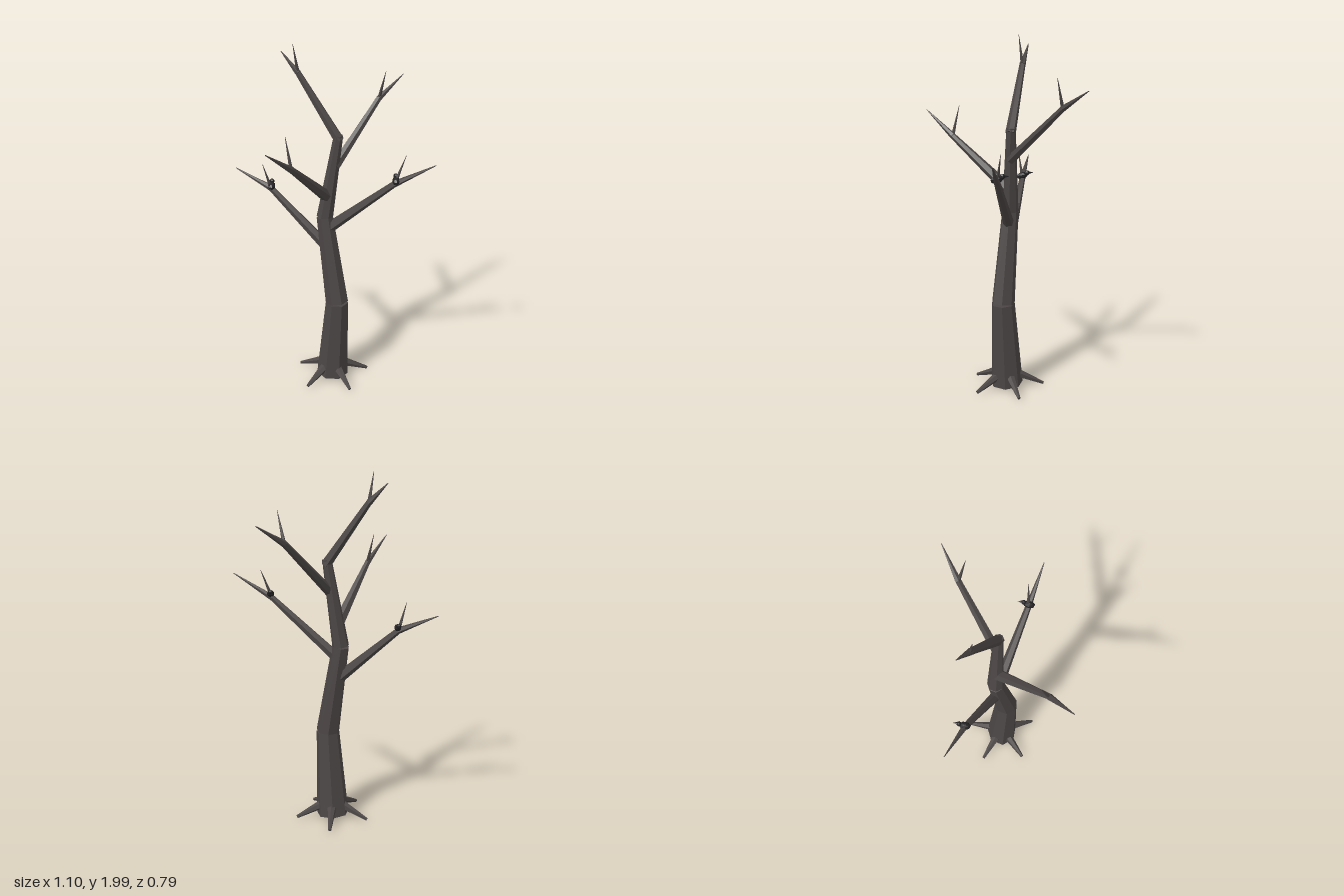
import * as THREE from 'three';

const bark = new THREE.MeshStandardMaterial({ color: 0x4b4645, flatShading: true });
bark.name = 'bark';
const feather = new THREE.MeshStandardMaterial({ color: 0x242224, flatShading: true });
feather.name = 'dark feather';

// Tapered faceted limb running from point a to point b
function limb(name, a, b, ra, rb, sides, material = bark) {
  const start = new THREE.Vector3(...a), end = new THREE.Vector3(...b);
  const dir = end.clone().sub(start);
  const mesh = new THREE.Mesh(new THREE.CylinderGeometry(rb, ra, dir.length(), sides), material);
  mesh.name = name;
  mesh.position.copy(start).add(end).multiplyScalar(0.5);
  mesh.quaternion.setFromUnitVectors(new THREE.Vector3(0, 1, 0), dir.normalize());
  return mesh;
}

// Branch with one bend and a thin twig rising from the bend
function branch(name, base, bend, tip, twig, r) {
  const g = new THREE.Group();
  g.name = name;
  g.add(limb('innerBranch', base, bend, r, 0.017, 6));
  g.add(limb('outerBranch', bend, tip, 0.018, 0.002, 6));
  g.add(limb('twig', bend, twig, 0.011, 0.001, 5));
  return g;
}

// Small perched bird facing the back
function bird(name, x, y, z) {
  const g = new THREE.Group();
  g.name = name;
  const body = new THREE.Mesh(new THREE.SphereGeometry(0.021, 7, 5), feather);
  body.name = 'body';
  body.scale.set(1, 0.95, 1.6);
  body.rotation.x = 0.2;
  const head = new THREE.Mesh(new THREE.SphereGeometry(0.014, 6, 5), feather);
  head.name = 'head';
  head.position.set(0, 0.016, -0.031);
  g.add(body, head, limb('beak', [0, 0.016, -0.04], [0, 0.017, -0.063], 0.008, 0.001, 5, feather));
  g.position.set(x, y, z);
  return g;
}

export function createModel() {
  const tree = new THREE.Group();
  tree.name = 'bareTree';

  // Crooked trunk in three tapering sections
  const trunk = [
    [[0, 0.02, -0.03], 0.093], [[0.027, 0.52, -0.005], 0.066],
    [[-0.043, 1.04, -0.053], 0.047], [[0.032, 1.525, -0.046], 0.026],
  ];
  for (let i = 0; i < 3; i++) {
    const [a, ra] = trunk[i], [b, rb] = trunk[i + 1];
    const section = limb('trunkSection', a, b, ra, rb, 7);
    section.rotateY(Math.PI / 7);
    tree.add(section);
  }

  // Five roots spread around the foot
  for (let i = 0; i < 5; i++) {
    const t = (-84 + 72 * i) * Math.PI / 180;
    const c = Math.cos(t), s = Math.sin(t);
    tree.add(limb('root', [0.05 * c, 0.085, -0.03 + 0.05 * s],
      [0.213 * c, 0.014, -0.03 + 0.213 * s], 0.028, 0.009, 6));
  }

  // Branches from lowest to highest: base, bend, tip, twig end, base radius
  tree.add(
    branch('lowRightBranch', [-0.03, 0.85, -0.045], [-0.35, 1.16, -0.165],
      [-0.553, 1.256, -0.23], [-0.392, 1.31, -0.147], 0.032),
    branch('lowLeftBranch', [-0.03, 0.965, -0.045], [0.335, 1.29, 0.063],
      [0.547, 1.418, 0.112], [0.394, 1.45, 0.052], 0.032),
    branch('frontBranch', [-0.03, 1.165, -0.045], [-0.205, 1.445, 0.252],
      [-0.322, 1.578, 0.39], [-0.236, 1.61, 0.212], 0.034),
    branch('backBranch', [0.015, 1.345, -0.045], [0.252, 1.655, -0.287],
      [0.388, 1.762, -0.393], [0.286, 1.82, -0.25], 0.028),
    branch('topBranch', [0.037, 1.495, -0.043], [-0.185, 1.84, -0.138],
      [-0.278, 1.945, -0.184], [-0.21, 2.0, -0.12], 0.029),
  );

  // Birds sitting on the two low branches
  tree.add(bird('rightBird', -0.346, 1.175, -0.163), bird('leftBird', 0.342, 1.31, 0.067));
  return tree;
}
